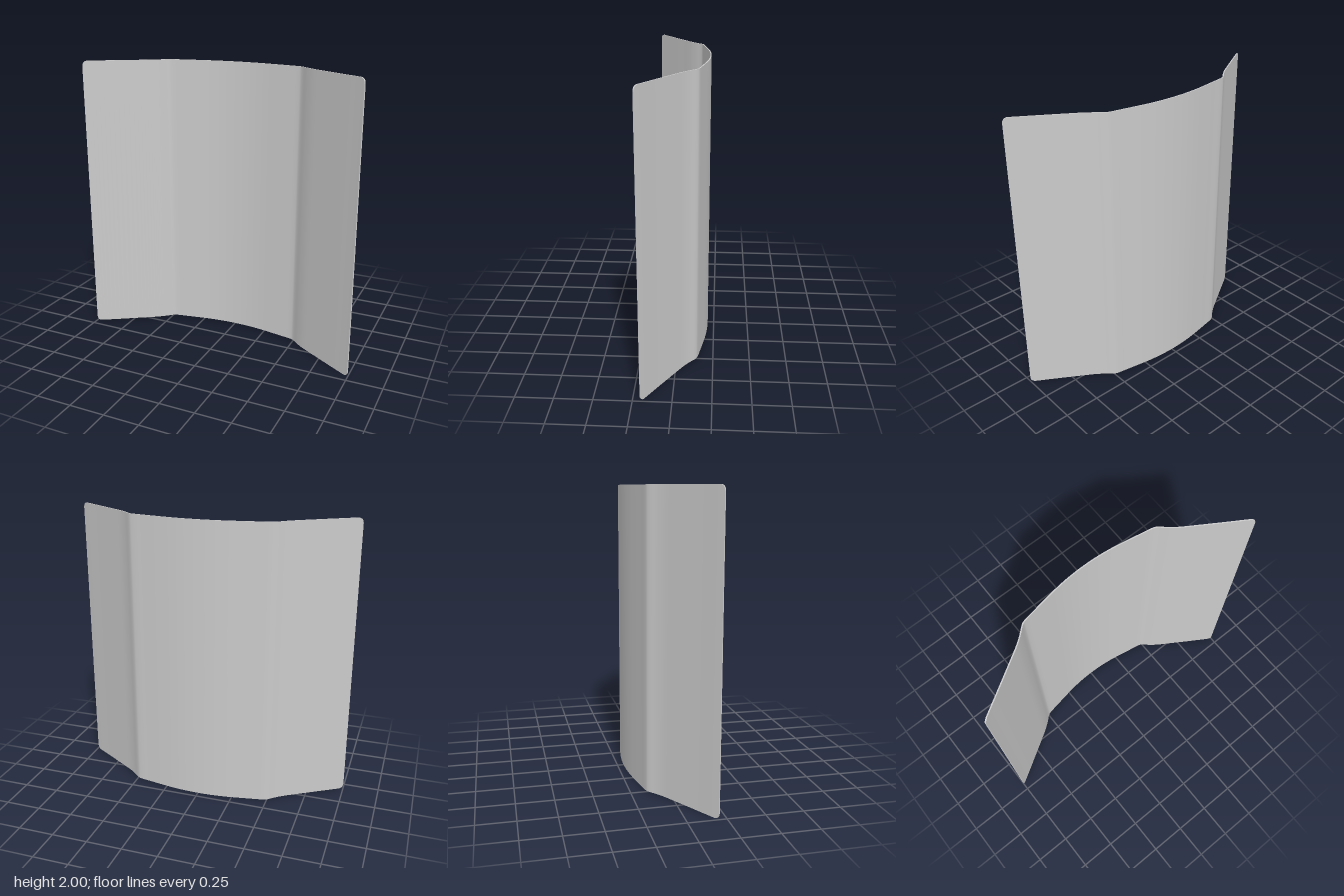
import * as THREE from 'three';

const THICKNESS = 0.008, HEIGHT = 2, CORNER_X = 0.03, CORNER_Y = 0.036;

// Right half of the bent profile as [x, z]; the left half is mirrored
const HALF = [
  [0, -0.201], [0.1, -0.198], [0.2, -0.188], [0.3, -0.172], [0.4, -0.154], [0.47, -0.141],
  [0.495, -0.132], [0.55, -0.085], [0.6, -0.047], [0.7, 0.016], [0.85, 0.109],
  [0.968, 0.181], [0.99, 0.195], [0.998, 0.2],
];

function profile() {
  const pts = [...HALF.slice(1).reverse().map(([x, z]) => [-x, z]), ...HALF];
  const curve = new THREE.CatmullRomCurve3(pts.map(([x, z]) => new THREE.Vector3(x, 0, z)));
  const divisions = (pts.length - 1) * 5;
  return Array.from({ length: divisions + 1 }, (_, i) => ({
    p: curve.getPoint(i / divisions),
    t: curve.getTangent(i / divisions),
  }));
}

// How far the top and bottom edges pull in at the rounded corners
function inset(x) {
  const u = Math.max(0, 1 - (0.998 - Math.abs(x)) / CORNER_X);
  return CORNER_Y * (1 - Math.sqrt(Math.max(0, 1 - u * u)));
}

function panelGeometry() {
  // Each section is a thin upright rectangle: front bottom, front top, back top, back bottom
  const sections = profile().map(({ p, t }) => {
    const y = inset(p.x), h = THICKNESS / 2;
    const corner = (side, yy) => [p.x - t.z * h * side, yy, p.z + t.x * h * side];
    return [corner(1, y), corner(1, HEIGHT - y), corner(-1, HEIGHT - y), corner(-1, y)];
  });
  const position = [], index = [];

  // Four separate strips keep the rim edges sharp and the bends smooth
  for (let side = 0; side < 4; side++) {
    const base = position.length / 3;
    sections.forEach((s, i) => {
      position.push(...s[side], ...s[(side + 1) % 4]);
      if (i === 0) return;
      const a = base + (i - 1) * 2;
      index.push(a, a + 2, a + 3, a, a + 3, a + 1);
    });
  }

  // End caps
  const cap = (corners) => {
    const b = position.length / 3;
    position.push(...corners.flat());
    index.push(b, b + 1, b + 2, b, b + 2, b + 3);
  };
  cap(sections[0]);
  const [a, b, c, d] = sections[sections.length - 1];
  cap([a, d, c, b]);

  const geometry = new THREE.BufferGeometry();
  geometry.setAttribute('position', new THREE.Float32BufferAttribute(position, 3));
  geometry.setIndex(index);
  geometry.computeVertexNormals();
  return geometry;
}

export function createModel() {
  const group = new THREE.Group();
  group.name = 'curvedScreen';
  const panel = new THREE.Mesh(panelGeometry(), new THREE.MeshStandardMaterial({ color: 0xcccccc }));
  panel.name = 'bentPanel';
  group.add(panel);
  return group;
}
